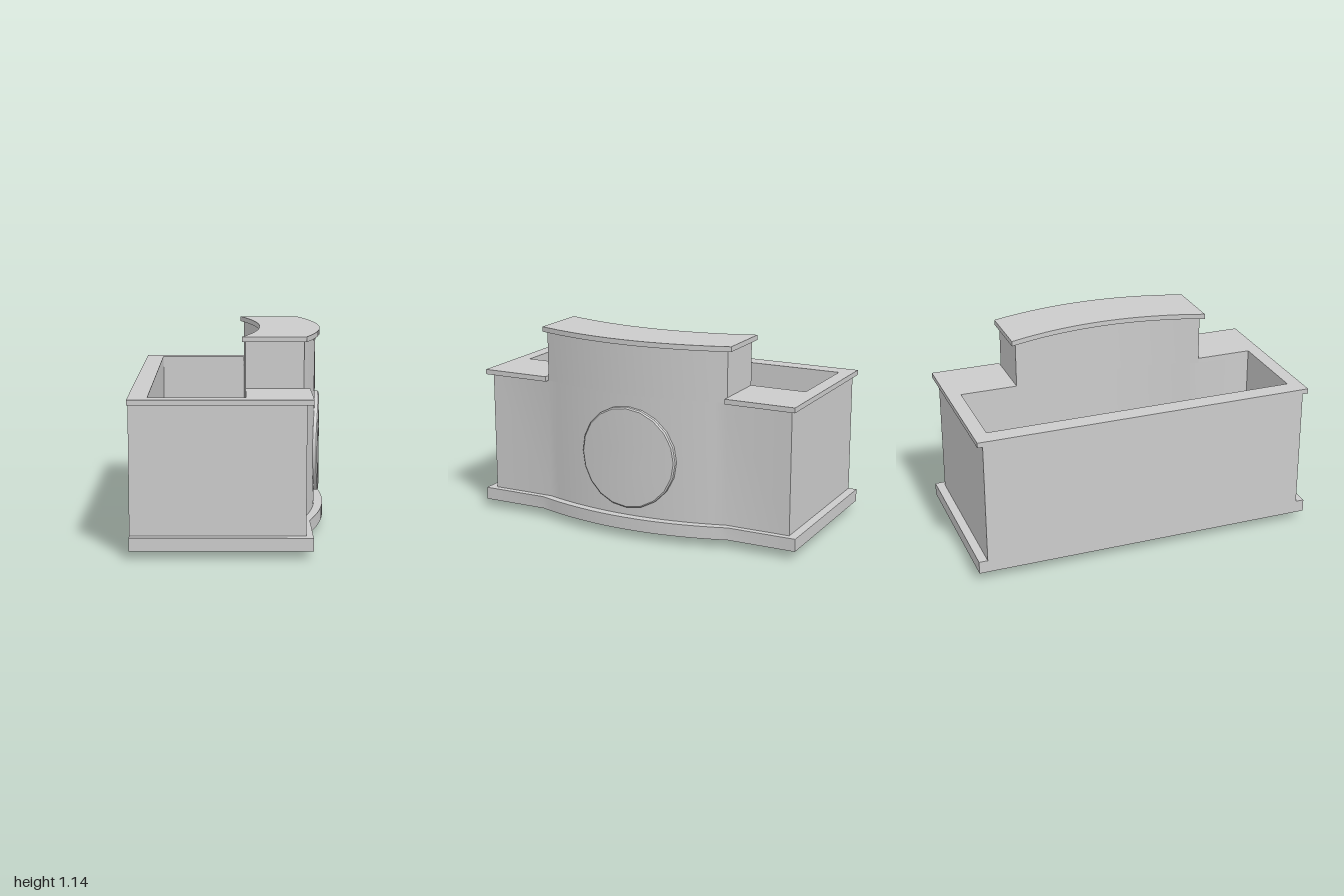
import * as THREE from 'three';
import { toCreasedNormals } from 'three/addons/utils/BufferGeometryUtils.js';

const material = new THREE.MeshStandardMaterial({ color: 0xcccccc });
const SEGMENTS = 16;

// Bowed edge along z: x is `edge` at z = +-half and `middle` at z = 0
function bow(edge, middle, half, z) {
  return middle - (middle - edge) * (z / half) ** 2;
}

function bowPoints(edge, middle, half, direction) {
  const points = [];
  for (let i = 0; i <= SEGMENTS; i++) {
    const z = direction * half * (-1 + (2 * i) / SEGMENTS);
    points.push(new THREE.Vector2(bow(edge, middle, half, z), z));
  }
  return points;
}

const corner = (x, z) => new THREE.Vector2(x, z);

// Extrudes a plan outline upward from y0 to y1
function slab(name, points, y0, y1, hole) {
  const shape = new THREE.Shape(points);
  if (hole) shape.holes.push(new THREE.Path(hole));
  const geometry = new THREE.ExtrudeGeometry(shape, { depth: y1 - y0, bevelEnabled: false });
  geometry.rotateX(-Math.PI / 2).translate(0, y0, 0);
  return part(name, geometry);
}

function part(name, geometry) {
  const mesh = new THREE.Mesh(toCreasedNormals(geometry, 0.5), material);
  mesh.name = name;
  return mesh;
}

// Round leg between two points
function leg(foot, top) {
  const axis = top.clone().sub(foot);
  const mesh = part('stoolLeg', new THREE.CylinderGeometry(0.025, 0.025, axis.length(), 12));
  mesh.position.copy(foot).addScaledVector(axis, 0.5);
  mesh.quaternion.setFromUnitVectors(new THREE.Vector3(0, 1, 0), axis.normalize());
  return mesh;
}

export function createModel() {
  const model = new THREE.Group();
  model.name = 'barCounter';

  // Open well inside the counter, with the bowed inner wall
  const well = [
    corner(-0.44, -0.9), corner(0.08, -0.9),
    ...bowPoints(0.08, 0.175, 0.57, 1),
    corner(0.08, 0.9), corner(-0.44, 0.9),
  ];

  // Plinth and walls
  model.add(slab('plinth', [
    corner(-0.54, -1), corner(0.437, -1),
    ...bowPoints(0.437, 0.54, 0.6, 1),
    corner(0.437, 1), corner(-0.54, 1),
  ], 0.05, 0.122, well));
  model.add(slab('counterWalls', [
    corner(-0.54, -0.95), corner(0.4, -0.95),
    ...bowPoints(0.4, 0.49, 0.57, 1),
    corner(0.4, 0.95), corner(-0.54, 0.95),
  ], 0.122, 0.826, well));

  // U-shaped worktop that stops at the raised middle
  model.add(slab('worktop', [
    corner(-0.545, -0.98), corner(0.435, -0.98), corner(0.435, -0.57),
    corner(0.08, -0.57), corner(0.08, -0.9), corner(-0.44, -0.9),
    corner(-0.44, 0.9), corner(0.08, 0.9), corner(0.08, 0.57),
    corner(0.435, 0.57), corner(0.435, 0.98), corner(-0.545, 0.98),
  ], 0.826, 0.855));

  // Raised bowed front and its top
  model.add(slab('raisedFront', [
    ...bowPoints(0.4, 0.49, 0.57, 1),
    ...bowPoints(0.08, 0.175, 0.57, -1),
  ], 0.826, 1.114));
  model.add(slab('raisedTop', [
    ...bowPoints(0.412, 0.515, 0.595, 1),
    ...bowPoints(0.06, 0.167, 0.595, -1),
  ], 1.114, 1.143));

  // Round front panel, bent to follow the bow
  const profile = [
    [0, 0], [0.1, 0], [0.2, 0], [0.295, 0], [0.295, 0.019],
    [0.287, 0.026], [0.2, 0.026], [0.1, 0.026], [0, 0.026],
  ].map(([r, y]) => new THREE.Vector2(r, y));
  const disc = new THREE.LatheGeometry(profile, 20);
  disc.rotateZ(-Math.PI / 2);
  const position = disc.attributes.position;
  for (let i = 0; i < position.count; i++) {
    position.setX(i, position.getX(i) + bow(0.4, 0.49, 0.57, position.getZ(i)));
  }
  disc.translate(0, 0.465, 0);
  model.add(part('roundPanel', disc));

  // Three-legged stool in the well
  const stool = new THREE.Group();
  stool.name = 'stool';
  const seat = part('stoolSeat', new THREE.LatheGeometry([
    [0, 0.58], [0.16, 0.58], [0.17, 0.59], [0.17, 0.62], [0.163, 0.63], [0, 0.63],
  ].map(([r, y]) => new THREE.Vector2(r, y)), 20));
  seat.position.set(-0.2, 0, -0.035);
  stool.add(seat);
  const legs = [
    [0.013, -0.035, -0.09, -0.035],
    [-0.345, 0.128, -0.25, 0.085],
    [-0.39, -0.17, -0.3, -0.105],
  ];
  for (const [fx, fz, tx, tz] of legs) {
    stool.add(leg(new THREE.Vector3(fx, 0.005, fz), new THREE.Vector3(tx, 0.585, tz)));
  }
  model.add(stool);

  return model;
}
